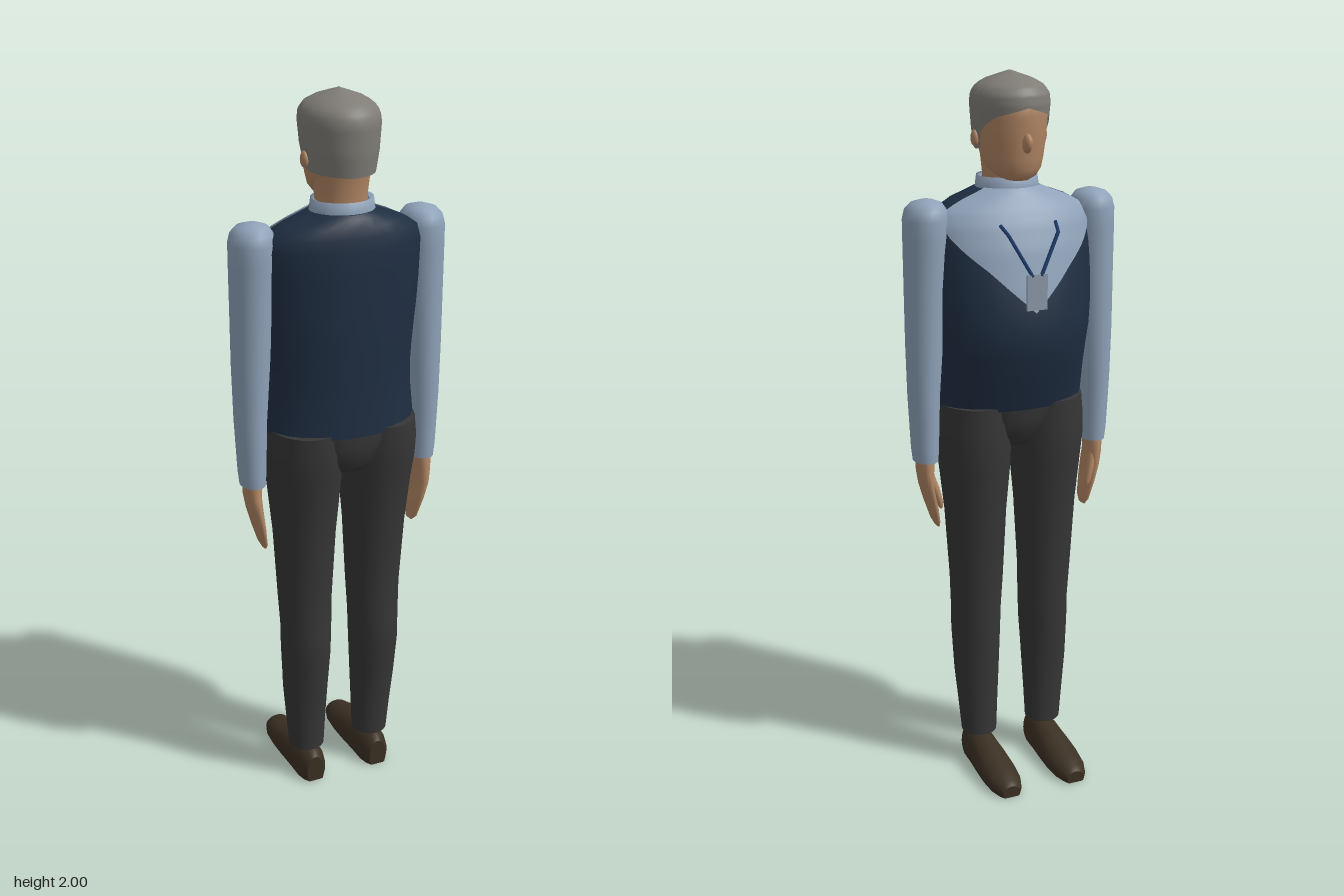
import * as THREE from 'three';

const mat = (name, color, side = THREE.FrontSide) => {
  const m = new THREE.MeshStandardMaterial({ color, side });
  m.name = name;
  return m;
};
const N = 24;

// Skin a list of point rings; closed rings wrap and get end caps
function loft(rings, closed = true, caps = closed) {
  const n = rings[0].length, pos = rings.flat(2), idx = [];
  for (let i = 0; i < rings.length - 1; i++)
    for (let j = 0; j < (closed ? n : n - 1); j++) {
      const a = i * n + j, b = i * n + (j + 1) % n;
      idx.push(a, b, b + n, a, b + n, a + n);
    }
  if (caps) [rings[0], rings[rings.length - 1]].forEach((ring, end) => {
    const base = pos.length / 3;
    ring.forEach(p => pos.push(...p));
    pos.push(...[0, 1, 2].map(k => ring.reduce((s, p) => s + p[k], 0) / n));
    for (let j = 0; j < n; j++) {
      const a = base + j, b = base + (j + 1) % n;
      idx.push(...(end ? [a, b, base + n] : [b, a, base + n]));
    }
  });
  const g = new THREE.BufferGeometry();
  g.setAttribute('position', new THREE.Float32BufferAttribute(pos, 3));
  g.setIndex(idx);
  g.computeVertexNormals();
  return g;
}

// Horizontal ellipse ring from [y, cx, cz, rx, rz]
const at = ([y, cx, cz, rx, rz], a) => [cx + rx * Math.sin(a), y, cz + rz * Math.cos(a)];
const ellipse = r => Array.from({ length: N }, (_, j) => at(r, j / N * Math.PI * 2));
const column = (rows, caps = true) => loft(rows.map(ellipse), true, caps);

// Linear lookup in a table whose rows start with y
function lookup(rows, y) {
  let i = 0;
  while (i < rows.length - 2 && y > rows[i + 1][0]) i++;
  const t = THREE.MathUtils.clamp((y - rows[i][0]) / (rows[i + 1][0] - rows[i][0]), 0, 1);
  return rows[i].map((v, k) => v + (rows[i + 1][k] - v) * t);
}

// [y, half width, front z, back z] to ellipse rows
const body = (rows, cx = 0) => rows.map(([y, rx, f, b]) => [y, cx, (f + b) / 2, rx, (b - f) / 2]);

export function createModel() {
  const group = new THREE.Group();
  const vestM = mat('navy vest', 0x1f2e42), shirtM = mat('blue shirt', 0x8fa2b9, THREE.DoubleSide);
  const trouserM = mat('charcoal trousers', 0x363636), shoeM = mat('brown shoes', 0x3b3023);
  const skinM = mat('skin', 0xb08563), hairM = mat('grey hair', 0x807d77, THREE.DoubleSide);
  const cordM = mat('blue cord', 0x1c3a68), badgeM = mat('badge grey', 0x8d9aa9);
  const add = (name, geo, m) => {
    const mesh = new THREE.Mesh(geo, m);
    mesh.name = name;
    group.add(mesh);
    return mesh;
  };

  // Vest
  const torso = body([
    [1.11, 0.21, -0.07, 0.19], [1.2, 0.207, -0.105, 0.188], [1.27, 0.21, -0.125, 0.188],
    [1.32, 0.215, -0.135, 0.189], [1.38, 0.22, -0.13, 0.189], [1.45, 0.225, -0.115, 0.188],
    [1.55, 0.228, -0.09, 0.185], [1.61, 0.226, -0.068, 0.183], [1.645, 0.21, -0.05, 0.178],
    [1.67, 0.165, -0.034, 0.172], [1.69, 0.11, -0.022, 0.162], [1.7, 0.085, -0.012, 0.152],
  ]);
  add('vest', column(torso), vestM);

  // Shirt front: shield-shaped panel lying on the chest, limited by an angle per height
  const reach = [[1.39, 0], [1.5, 0.52], [1.59, 1.06], [1.625, 1.16], [1.65, 1.2], [1.7, 1.1]];
  const panel = [];
  for (let i = 0; i <= 24; i++) {
    const y = 1.39 + 0.31 * i / 24, w = lookup(reach, y)[1];
    const [, cx, cz, rx, rz] = lookup(torso, y);
    panel.push(Array.from({ length: 21 }, (_, j) =>
      at([y + 0.003, cx, cz, rx + 0.004, rz + 0.005], Math.PI + w * (j / 10 - 1))));
  }
  add('shirtFront', loft(panel, false), shirtM);
  add('collar', column([[1.68, 0, 0.068, 0.088, 0.08], [1.7, 0, 0.068, 0.087, 0.079],
    [1.73, 0, 0.068, 0.083, 0.076], [1.725, 0, 0.068, 0.07, 0.064]], false), shirtM);

  // Neck and head
  add('neck', column([[1.67, 0, 0.062, 0.068, 0.066], [1.74, 0, 0.06, 0.07, 0.066],
    [1.81, 0, 0.065, 0.075, 0.075]]), skinM);
  add('head', column([
    [1.725, 0, 0, 0.03, 0.035], [1.735, 0, 0.007, 0.052, 0.054], [1.755, 0, 0.02, 0.07, 0.077],
    [1.78, 0, 0.034, 0.08, 0.094], [1.83, 0, 0.044, 0.09, 0.111], [1.89, 0, 0.047, 0.096, 0.117],
    [1.93, 0, 0.047, 0.094, 0.114], [1.96, 0, 0.047, 0.07, 0.085],
  ]), skinM);
  const nose = add('nose', new THREE.SphereGeometry(1, 12, 8), skinM);
  nose.scale.set(0.013, 0.026, 0.02);
  nose.position.set(0, 1.825, -0.069);
  nose.rotation.x = -0.25;

  // Hair: shell whose lower edge rises from the nape to the forehead
  const hairRows = [[1.79, 0, 0.05, 0.087, 0.112], [1.85, 0, 0.05, 0.097, 0.12],
    [1.92, 0, 0.048, 0.103, 0.125], [1.945, 0, 0.047, 0.1, 0.121], [1.965, 0, 0.047, 0.086, 0.105],
    [1.98, 0, 0.047, 0.06, 0.073], [1.99, 0, 0.047, 0.032, 0.04], [2, 0, 0.047, 0.003, 0.004]];
  const hairline = [[0, 1.795], [1.5, 1.8], [1.72, 1.81], [1.85, 1.855], [2.3, 1.89], [3.15, 1.915]];
  const hair = [];
  for (let i = 0; i <= 20; i++)
    hair.push(Array.from({ length: 48 }, (_, j) => {
      const a = j / 48 * Math.PI * 2, low = lookup(hairline, Math.min(a, Math.PI * 2 - a))[1];
      return at(lookup(hairRows, low + (2 - low) * i / 20), a);
    }));
  add('hair', loft(hair, true, false), hairM);

  // Pelvis between the legs
  add('pelvis', column(body([[0.985, 0.05, 0.005, 0.12], [0.995, 0.075, -0.02, 0.15],
    [1.03, 0.105, -0.05, 0.178], [1.08, 0.15, -0.066, 0.188], [1.13, 0.198, -0.068, 0.186]])), trouserM);

  // Badge hanging on a cord
  const badge = add('badge', new THREE.BoxGeometry(0.058, 0.095, 0.005), badgeM);
  badge.position.set(0, 1.45, -0.134);

  for (const s of [1, -1]) {
    const side = s > 0 ? 'left' : 'right';
    const limb = rows => column(rows.map(([y, cx, ...r]) => [y, cx * s, ...r]));

    add(side + 'Leg', limb([
      [0.1, 0.102, 0.048, 0.051, 0.053], [0.2, 0.104, 0.05, 0.058, 0.057],
      [0.3, 0.106, 0.053, 0.065, 0.065], [0.42, 0.106, 0.058, 0.069, 0.082],
      [0.5, 0.105, 0.057, 0.071, 0.081], [0.6, 0.105, 0.051, 0.076, 0.081],
      [0.8, 0.106, 0.052, 0.086, 0.098], [0.93, 0.107, 0.053, 0.098, 0.113],
      [1.0, 0.109, 0.056, 0.104, 0.122], [1.06, 0.109, 0.06, 0.105, 0.126],
      [1.12, 0.108, 0.06, 0.1, 0.125]]), trouserM);

    add(side + 'Sleeve', limb([
      [0.965, 0.253, 0.047, 0.034, 0.046], [1.0, 0.254, 0.047, 0.037, 0.049],
      [1.15, 0.255, 0.046, 0.043, 0.054], [1.3, 0.251, 0.045, 0.05, 0.059],
      [1.45, 0.246, 0.045, 0.055, 0.064], [1.58, 0.242, 0.045, 0.059, 0.069],
      [1.63, 0.241, 0.045, 0.06, 0.069], [1.655, 0.24, 0.045, 0.055, 0.062],
      [1.672, 0.238, 0.045, 0.041, 0.046], [1.68, 0.237, 0.045, 0.018, 0.02],
      [1.681, 0.237, 0.045, 0.002, 0.002]]), shirtM);

    add(side + 'Hand', limb([
      [0.768, 0.224, 0.045, 0.004, 0.018], [0.785, 0.228, 0.047, 0.009, 0.034],
      [0.84, 0.24, 0.049, 0.015, 0.044], [0.89, 0.25, 0.05, 0.019, 0.048],
      [0.93, 0.255, 0.048, 0.022, 0.043], [0.98, 0.254, 0.047, 0.027, 0.036]]), skinM);
    add(side + 'Thumb', limb([
      [0.83, 0.223, 0.012, 0.004, 0.005], [0.845, 0.225, 0.012, 0.009, 0.011],
      [0.89, 0.237, 0.017, 0.011, 0.014], [0.935, 0.249, 0.03, 0.01, 0.014]]), skinM);

    // Shoe: flat-soled sections from toe to heel [z, half width, height]
    const shoe = [[-0.199, 0.026, 0.035], [-0.185, 0.036, 0.046], [-0.15, 0.048, 0.056],
      [-0.1, 0.052, 0.068], [-0.04, 0.05, 0.083], [0.02, 0.046, 0.096], [0.075, 0.044, 0.1],
      [0.1, 0.037, 0.095], [0.115, 0.026, 0.08]];
    add(side + 'Shoe', loft(shoe.map(([z, w, h]) => Array.from({ length: N }, (_, j) => {
      const a = j / N * Math.PI * 2;
      return [s * 0.101 + w * Math.cos(a), Math.max(0, h * (0.35 + 0.65 * Math.sin(a))), z];
    }))), shoeM);

    const ear = add(side + 'Ear', new THREE.SphereGeometry(1, 12, 8), skinM);
    ear.scale.set(0.01, 0.022, 0.017);
    ear.position.set(s * 0.097, 1.83, 0.052);

    // Cord from chest to badge
    const path = new THREE.CurvePath();
    const pts = [[0.078, 1.62, -0.075], [0.07, 1.6, -0.11], [0.012, 1.492, -0.134]]
      .map(([x, y, z]) => new THREE.Vector3(s * x, y, z));
    path.add(new THREE.LineCurve3(pts[0], pts[1]));
    path.add(new THREE.LineCurve3(pts[1], pts[2]));
    add(side + 'Cord', new THREE.TubeGeometry(path, 16, 0.005, 6), cordM);
  }
  return group;
}
